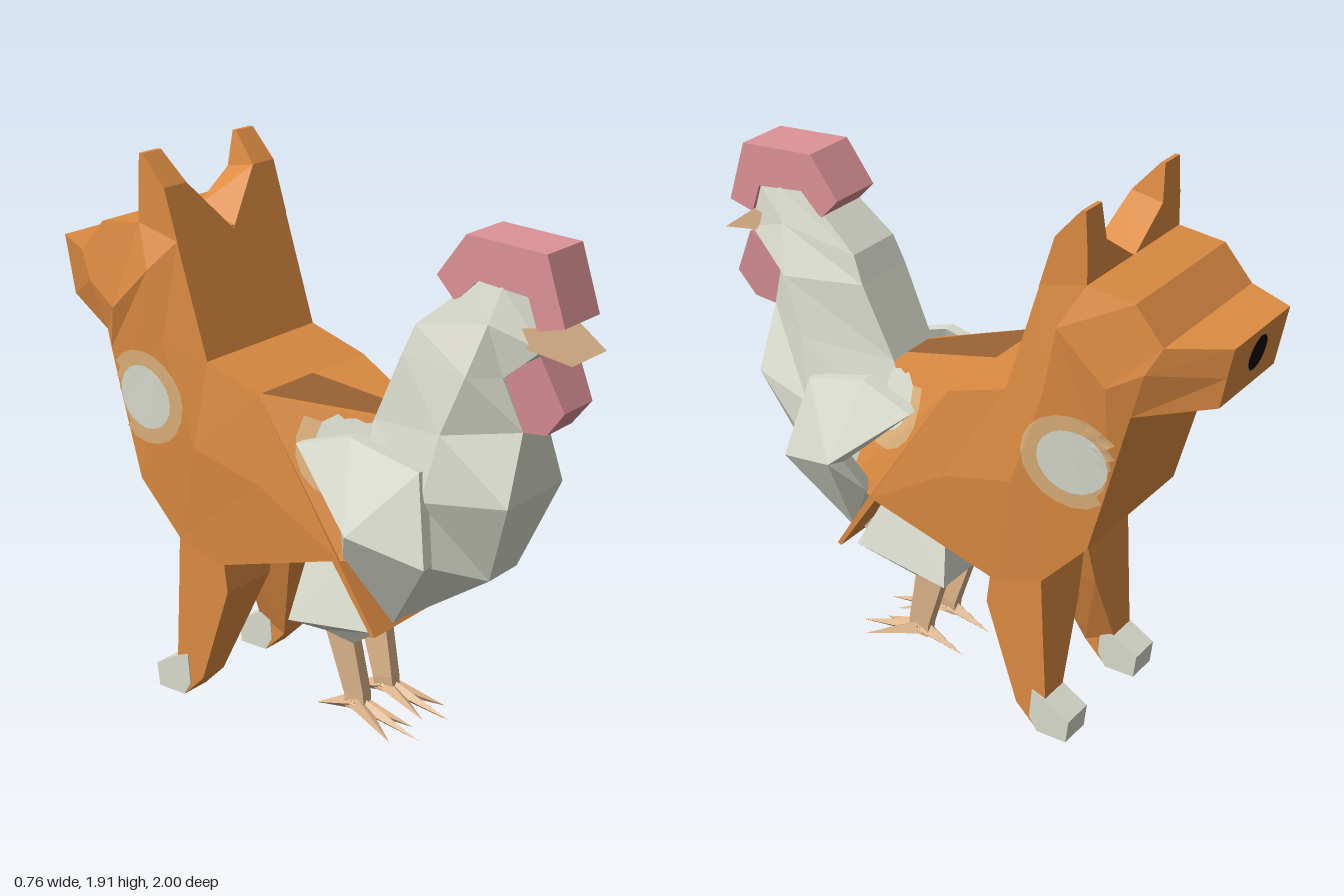
import * as THREE from 'three';

const mat = (name, color) => {
  const m = new THREE.MeshStandardMaterial({ color, flatShading: true, side: THREE.DoubleSide });
  m.name = name;
  return m;
};

function fromTriangles(tris) {
  const g = new THREE.BufferGeometry();
  g.setAttribute('position', new THREE.Float32BufferAttribute(tris.flat(2), 3));
  g.computeVertexNormals();
  return g;
}

// Skin a list of rings (equal point counts), cap both ends, face outwards
function loft(rings) {
  const tris = [], n = rings[0].length;
  for (let i = 0; i < rings.length - 1; i++) {
    for (let j = 0; j < n; j++) {
      const k = (j + 1) % n, a = rings[i], b = rings[i + 1];
      tris.push([a[j], a[k], b[k]], [a[j], b[k], b[j]]);
    }
  }
  const first = rings[0], last = rings[rings.length - 1];
  for (let j = 1; j < n - 1; j++) {
    tris.push([first[0], first[j + 1], first[j]], [last[0], last[j], last[j + 1]]);
  }
  const v = (p) => new THREE.Vector3(...p);
  const solid = tris.filter(([a, b, c]) => v(b).sub(v(a)).cross(v(c).sub(v(a))).length() > 1e-7);
  const volume = solid.reduce((s, [a, b, c]) => s + v(a).dot(v(b).cross(v(c))), 0);
  return fromTriangles(volume < 0 ? solid.map(([a, b, c]) => [a, c, b]) : solid);
}

// Mirrored six-sided section: [z, y, halfWidth] for upper, middle and lower points
const section = ([a, b, c]) => [
  [-a[2], a[1], a[0]], [a[2], a[1], a[0]], [b[2], b[1], b[0]],
  [c[2], c[1], c[0]], [-c[2], c[1], c[0]], [-b[2], b[1], b[0]],
];

// Four-sided ring: front [z, y], back [z, y], inner and outer x
const limbRing = (s) => ([f, b, xi, xo]) => [
  [s * xi, f[1], f[0]], [s * xo, f[1], f[0]], [s * xo, b[1], b[0]], [s * xi, b[1], b[0]],
];

// Side outline of [z, y] points extruded from x0 to x1
function prism(points, x0, x1) {
  const shape = new THREE.Shape(points.map(([z, y]) => new THREE.Vector2(-z, y)));
  const g = new THREE.ExtrudeGeometry(shape, { depth: x1 - x0, bevelEnabled: false });
  return g.rotateY(Math.PI / 2).translate(x0, 0, 0);
}

// Thin oval laid on a surface; toPoint maps (u, v) to a ray start, dir is the ray
function patch(target, toPoint, dir, r0, r1, lift) {
  const ray = new THREE.Raycaster(), rows = 6, cols = 20, grid = [], tris = [];
  for (let i = 0; i <= rows; i++) {
    grid.push([]);
    for (let j = 0; j <= cols; j++) {
      const r = r0 + ((r1 - r0) * i) / rows, t = (j / cols) * Math.PI * 2;
      ray.set(toPoint(r * Math.cos(t), r * Math.sin(t)), dir);
      const hit = ray.intersectObject(target)[0];
      grid[i].push(hit ? hit.point.addScaledVector(dir, -lift) : null);
    }
  }
  const add = (a, b, c) => {
    if (!a || !b || !c) return;
    const flip = b.clone().sub(a).cross(c.clone().sub(a)).dot(dir) > 0;
    tris.push((flip ? [a, c, b] : [a, b, c]).map((p) => p.toArray()));
  };
  for (let i = 0; i < rows; i++) {
    for (let j = 0; j < cols; j++) {
      add(grid[i][j], grid[i + 1][j], grid[i + 1][j + 1]);
      add(grid[i][j], grid[i + 1][j + 1], grid[i][j + 1]);
    }
  }
  return fromTriangles(tris);
}

export function createModel() {
  const group = new THREE.Group();
  const orange = mat('orange fur', 0xdc8b42), white = mat('white feathers', 0xd9dbcd);
  const halo = mat('pale fur', 0xdcb07a), pink = mat('pink comb', 0xdc9296);
  const tan = mat('tan legs', 0xdcb48a), brown = mat('brown fur', 0x9a6434), black = mat('black nose', 0x0a0a0a);
  const add = (name, geometry, material) => {
    const m = new THREE.Mesh(geometry, material);
    m.name = name;
    group.add(m);
    return m;
  };

  // Dog half: snout, head, neck, trunk and thin rump flap
  const dog = add('dogBody', loft([
    [[-1, 1.55, 0.18], [-0.98, 1.45, 0.18], [-0.96, 1.345, 0.18]],
    [[-0.82, 1.545, 0.28], [-0.77, 1.45, 0.3], [-0.715, 1.285, 0.28]],
    [[-0.72, 1.66, 0.28], [-0.65, 1.38, 0.32], [-0.7, 1.22, 0.28]],
    [[-0.555, 1.68, 0.28], [-0.48, 1.54, 0.33], [-0.65, 1.03, 0.28]],
    [[-0.39, 1.64, 0.28], [-0.43, 1.3, 0.32], [-0.58, 0.775, 0.28]],
    [[-0.27, 1.255, 0.28], [-0.31, 0.95, 0.31], [-0.41, 0.595, 0.28]],
    [[-0.05, 1.185, 0.28], [-0.04, 0.88, 0.3], [-0.23, 0.54, 0.28]],
    [[0.27, 0.7, 0.285], [0.26, 0.695, 0.285], [0.25, 0.685, 0.285]],
    [[0.42, 0.46, 0.28], [0.412, 0.458, 0.28], [0.405, 0.455, 0.28]],
  ].map(section)), orange);

  // Tapered join between the two bodies, with its dark back plate
  const join = add('backJoin', loft([
    [[-0.28, 1.185, -0.05], [0.28, 1.185, -0.05], [0.28, 0.69, 0.27], [-0.28, 0.69, 0.27]],
    [[-0.1, 1.13, 0.29], [0.1, 1.13, 0.29], [0.22, 0.7, 0.4], [-0.22, 0.7, 0.4]],
  ]), orange);
  const d = [[-0.27, 1.189, -0.05], [-0.08, 1.136, 0.28], [0.04, 1.136, 0.28], [0, 1.189, -0.05]];
  add('backPatch', fromTriangles([[d[0], d[1], d[2]], [d[0], d[2], d[3]]]), brown);

  // Nose
  add('nose', patch(dog, (u, v) => new THREE.Vector3(u * 0.055, 1.465 + v * 0.06, -2),
    new THREE.Vector3(0, 0, 1), 0, 1, 0.005), black);

  for (const s of [1, -1]) {
    const ring = limbRing(s), inward = new THREE.Vector3(-s, 0, 0);

    // Side spots with a paler rim
    for (const [name, target, z, y, rz, ry, inner] of [
      ['flankSpot', dog, -0.53, 1.085, 0.18, 0.165, 0.68],
      ['joinSpot', join, 0.28, 1.07, 0.2, 0.2, 0.72],
    ]) {
      const start = (u, v) => new THREE.Vector3(s * 2, y + v * ry, z + u * rz);
      add(name, patch(target, start, inward, 0, inner, 0.006), white);
      add(name + 'Rim', patch(target, start, inward, inner, 1, 0.006), halo);
    }

    // Ears, flush with the back of the neck
    add('ear', loft([
      [[-0.385, 1.63], [-0.555, 1.675], 0, 0.28],
      [[-0.44, 1.81], [-0.553, 1.79], 0.17, 0.28],
      [[-0.53, 1.912], [-0.545, 1.912], 0.19, 0.28],
    ].map(ring)), orange);

    // Dog legs and paws
    add('dogLeg', loft([
      [[-0.22, 0.6], [-0.41, 0.62], 0, 0.28],
      [[-0.2, 0.445], [-0.42, 0.42], 0.055, 0.28],
      [[-0.32, 0.085], [-0.435, 0.14], 0.17, 0.28],
      [[-0.405, 0], [-0.44, 0], 0.17, 0.28],
    ].map(ring)), orange);
    const paw = [[-0.405, 0], [-0.375, 0.05], [-0.385, 0.16], [-0.437, 0.14], [-0.53, 0.085], [-0.52, 0]];
    add('paw', prism(paw, s > 0 ? 0.166 : -0.285, s > 0 ? 0.285 : -0.166), white);

    // Wings: folded shell with a raised outer point
    const rim = [[0.235, 1.045, 0.55], [0.26, 1.115, 0.3], [0.28, 1.055, 0.1], [0.345, 0.84, 0.33],
      [0.28, 0.71, 0.29], [0.18, 0.475, 0.42], [0.3, 0.755, 0.62]];
    const at = (p, dx) => [s * (p[0] + dx), p[1], p[2]];
    const peak = [0.38, 0.83, 0.37];
    add('wing', loft([
      rim.map(() => at(peak, 0)), rim.map((p) => at(p, 0)),
      rim.map((p) => at(p, -0.045)), rim.map(() => at(peak, -0.06)),
    ]), white);

    // Bird thighs, shins and toes
    add('thigh', loft([
      [[0.27, 0.68], [0.05, 0.63], 0.06, 0.15],
      [[0.38, 0.44], [0.015, 0.385], 0.02, 0.22],
      [[0.21, 0.315], [0.09, 0.33], 0.07, 0.115],
    ].map(ring)), white);
    add('shin', loft([
      [[0.205, 0.34], [0.09, 0.34], 0.07, 0.113],
      [[0.245, 0.125], [0.165, 0.11], 0.06, 0.105],
      [[0.25, 0.06], [0.17, 0.06], 0.065, 0.105],
    ].map(ring)), tan);
    const ankle = new THREE.Vector3(0.085, 0.085, 0.2);
    for (const tip of [[0.09, 0.02, 0.47], [0.165, 0.025, 0.4], [0.03, 0.025, 0.4], [0.085, 0.025, 0.03]]) {
      const along = new THREE.Vector3(...tip).sub(ankle), len = along.length();
      const toe = new THREE.ConeGeometry(0.032, len, 4).translate(0, len / 2, 0);
      const turn = new THREE.Quaternion().setFromUnitVectors(
        new THREE.Vector3(0, 1, 0), along.normalize().multiply(new THREE.Vector3(s, 1, 1)));
      add('toe', toe.applyQuaternion(turn).translate(s * ankle.x, ankle.y, ankle.z), tan);
    }
  }

  // Bird half: head, neck, breast and belly
  add('birdBody', loft([
    [[0.84, 1.63, 0.09], [0.75, 1.645, 0.1], [0.65, 1.65, 0.09]],
    [[0.89, 1.47, 0.09], [0.72, 1.53, 0.13], [0.44, 1.475, 0.11]],
    [[0.76, 1.36, 0.1], [0.68, 1.37, 0.185], [0.4, 1.38, 0.12]],
    [[0.82, 1.19, 0.07], [0.6, 1.17, 0.2], [0.285, 1.13, 0.11]],
    [[0.83, 0.965, 0.16], [0.56, 0.95, 0.24], [0.2, 0.9, 0.15]],
    [[0.72, 0.67, 0.08], [0.5, 0.74, 0.26], [0.25, 0.65, 0.15]],
    [[0.41, 0.465, 0.1], [0.38, 0.46, 0.16], [0.3, 0.47, 0.1]],
  ].map(section)), white);

  // Comb, beak and wattle
  add('comb', prism([[0.97, 1.555], [0.9, 1.77], [0.615, 1.787], [0.51, 1.645], [0.58, 1.57],
    [0.66, 1.65], [0.84, 1.63], [0.875, 1.53]], -0.1, 0.1), pink);
  add('beak', prism([[0.82, 1.53], [0.87, 1.54], [1, 1.445], [0.9, 1.46], [0.82, 1.47]], -0.1, 0.1), tan);
  const wattle = prism([[0.89, 1.455], [0.97, 1.285], [0.905, 1.2], [0.815, 1.19], [0.75, 1.37]], -0.1, 0.1);
  const p = wattle.attributes.position;
  for (let i = 0; i < p.count; i++) {
    p.setX(i, p.getX(i) * THREE.MathUtils.mapLinear(p.getY(i), 1.19, 1.455, 0.7, 1));
  }
  wattle.computeVertexNormals();
  add('wattle', wattle, pink);

  return group;
}
